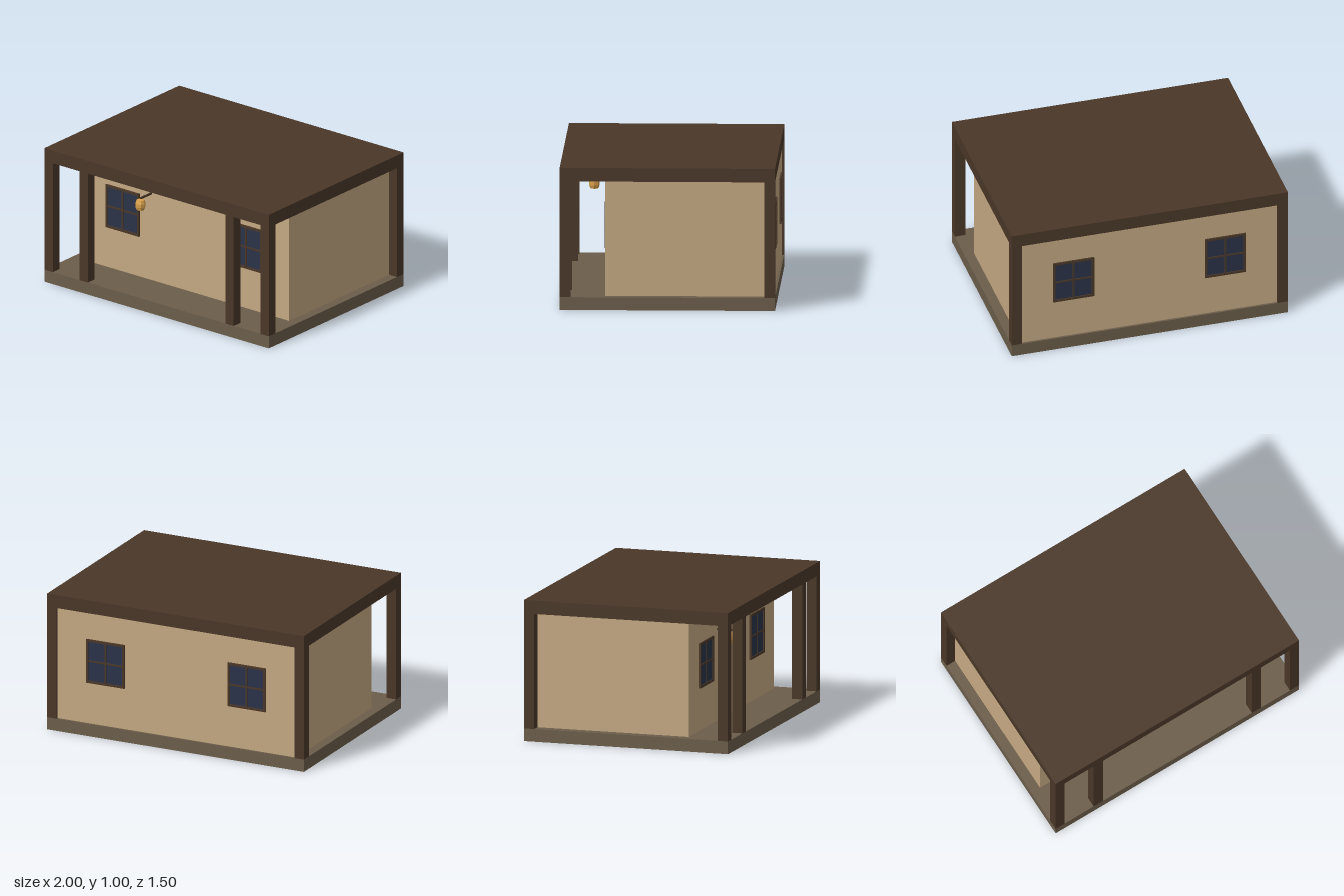
import * as THREE from 'three';

const paint = (color, extra = {}) => Object.assign(new THREE.MeshStandardMaterial({ color }), extra);

export function createModel() {
  const house = new THREE.Group();
  house.name = 'house';
  const wood = paint(0x4a3728), plaster = paint(0xc4a882), stone = paint(0x6b5d4a);
  const glass = paint(0x2a3248), amber = paint(0xd9a04a, { flatShading: true });

  // Box given by its extents on each axis
  const box = (parent, name, mat, [x0, x1], [y0, y1], [z0, z1]) => {
    const mesh = new THREE.Mesh(new THREE.BoxGeometry(x1 - x0, y1 - y0, z1 - z0), mat);
    mesh.position.set((x0 + x1) / 2, (y0 + y1) / 2, (z0 + z1) / 2);
    mesh.name = name;
    parent.add(mesh);
    return mesh;
  };

  // Foundation, walls and flat roof
  const floorY = 0.09, roofY = 0.905, wallFront = 0.435, wallBack = -0.735;
  box(house, 'foundation', stone, [-1, 1], [0, floorY], [-0.75, 0.75]);
  box(house, 'walls', plaster, [-0.93, 0.93], [floorY, roofY], [wallBack, wallFront]);
  box(house, 'roof', wood, [-1, 1], [roofY, 1], [-0.75, 0.75]);

  // Corner posts and the two inner porch posts
  const post = (name, x, z) => box(house, name, wood,
    [x - 0.0375, x + 0.0375], [floorY, roofY], [z - 0.0375, z + 0.0375]);
  for (const s of [-1, 1]) {
    post('frontCornerPost', s * 0.9625, 0.7125);
    post('backCornerPost', s * 0.9625, -0.7125);
    post('porchPost', s * 0.65, 0.7125);
  }

  // Window built around its own centre, facing +z from the wall plane
  const makeWindow = () => {
    const win = new THREE.Group();
    const w = 0.148, h = 0.16, t = 0.017, d = [-0.005, 0.012];
    box(win, 'windowGlass', glass, [-w + t, w - t], [-h + t, h - t], [-0.005, 0.004]);
    for (const s of [-1, 1]) {
      const side = [s * (w - t), s * w].sort((a, b) => a - b);
      const rail = [s * (h - t), s * h].sort((a, b) => a - b);
      box(win, 'windowStile', wood, side, [-h, h], d);
      box(win, 'windowRail', wood, [-w + t, w - t], rail, d);
    }
    box(win, 'verticalMuntin', wood, [-0.006, 0.006], [-h + t, h - t], [0, 0.01]);
    box(win, 'horizontalMuntin', wood, [-w + t, w - t], [-0.006, 0.006], [0, 0.0098]);
    return win;
  };
  for (const x of [-0.55, 0.55]) {
    const front = makeWindow();
    front.name = 'frontWindow';
    front.position.set(x, 0.55, wallFront);
    const back = makeWindow();
    back.name = 'backWindow';
    back.position.set(x, 0.55, wallBack);
    back.rotation.y = Math.PI;
    house.add(front, back);
  }

  // Lantern and its bracket arm
  const lantern = new THREE.Group();
  lantern.name = 'lantern';
  box(lantern, 'lanternArm', wood, [-0.306, -0.294], [0.732, 0.744], [wallFront, 0.553]);
  const profile = [[0, 0.652], [0.028, 0.652], [0.036, 0.676], [0.036, 0.7], [0.028, 0.724], [0, 0.724]]
    .map(([r, y]) => new THREE.Vector2(r, y));
  const shade = new THREE.Mesh(new THREE.LatheGeometry(profile, 8), amber);
  shade.name = 'lanternShade';
  shade.position.set(-0.303, 0, 0.551);
  lantern.add(shade);
  house.add(lantern);

  return house;
}
